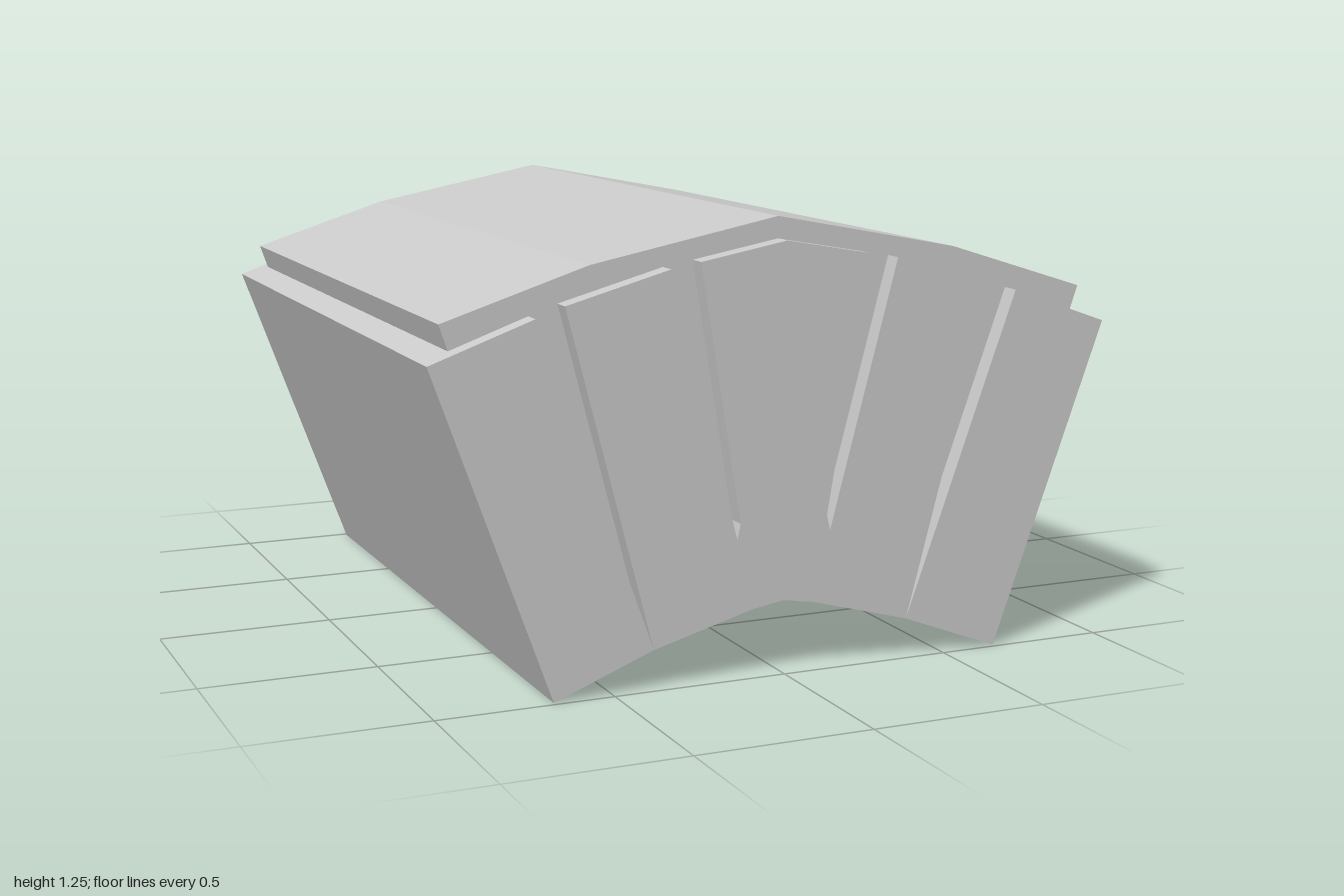
import * as THREE from 'three';

const material = new THREE.MeshStandardMaterial({ color: 0xcccccc });

// Extrudes an outline along z, centred on z = 0
function prism(name, points, halfDepth) {
  const shape = new THREE.Shape(points.map(([x, y]) => new THREE.Vector2(x, y)));
  const geometry = new THREE.ExtrudeGeometry(shape, { depth: halfDepth * 2, bevelEnabled: false });
  geometry.translate(0, 0, -halfDepth);
  const mesh = new THREE.Mesh(geometry, material);
  mesh.name = name;
  return mesh;
}

const mirror = (points) => points.map(([x, y]) => [-x, y]);

// Completes a symmetric outline from its right half, listed from the top centre to the bottom centre
const symmetric = (half) => [...half, ...mirror(half.slice(1, -1)).reverse()];

export function createModel() {
  const group = new THREE.Group();
  group.name = 'archSegment';
  const blockDepth = 0.988;
  const coreDepth = 0.933;

  // Recessed core: the raised cap on top and the floor of the joints
  group.add(prism('core', symmetric([
    [0, 1.245], [0.54, 1.14], [0.95, 1.01], [0.925, 0.937],
    [0.62, 0.06], [0.38, 0.14], [0.09, 0.22], [0, 0.235],
  ]), coreDepth));

  // Central keystone
  group.add(prism('keystone', symmetric([
    [0, 1.185], [0.25, 1.14], [0.13, 0.43], [0.14, 0.387], [0.09, 0.19], [0, 0.205],
  ]), blockDepth));

  // Wedge blocks on both sides
  const innerBlock = [[0.335, 1.125], [0.63, 1.045], [0.383, 0.11], [0.09, 0.19], [0.14, 0.387]];
  const outerBlock = [[0.71, 1.017], [1, 0.914], [0.668, 0], [0.383, 0.11]];
  for (const [side, place] of [['left', (p) => p], ['right', mirror]]) {
    group.add(prism(side + 'InnerBlock', place(innerBlock), blockDepth));
    group.add(prism(side + 'OuterBlock', place(outerBlock), blockDepth));
  }
  return group;
}
